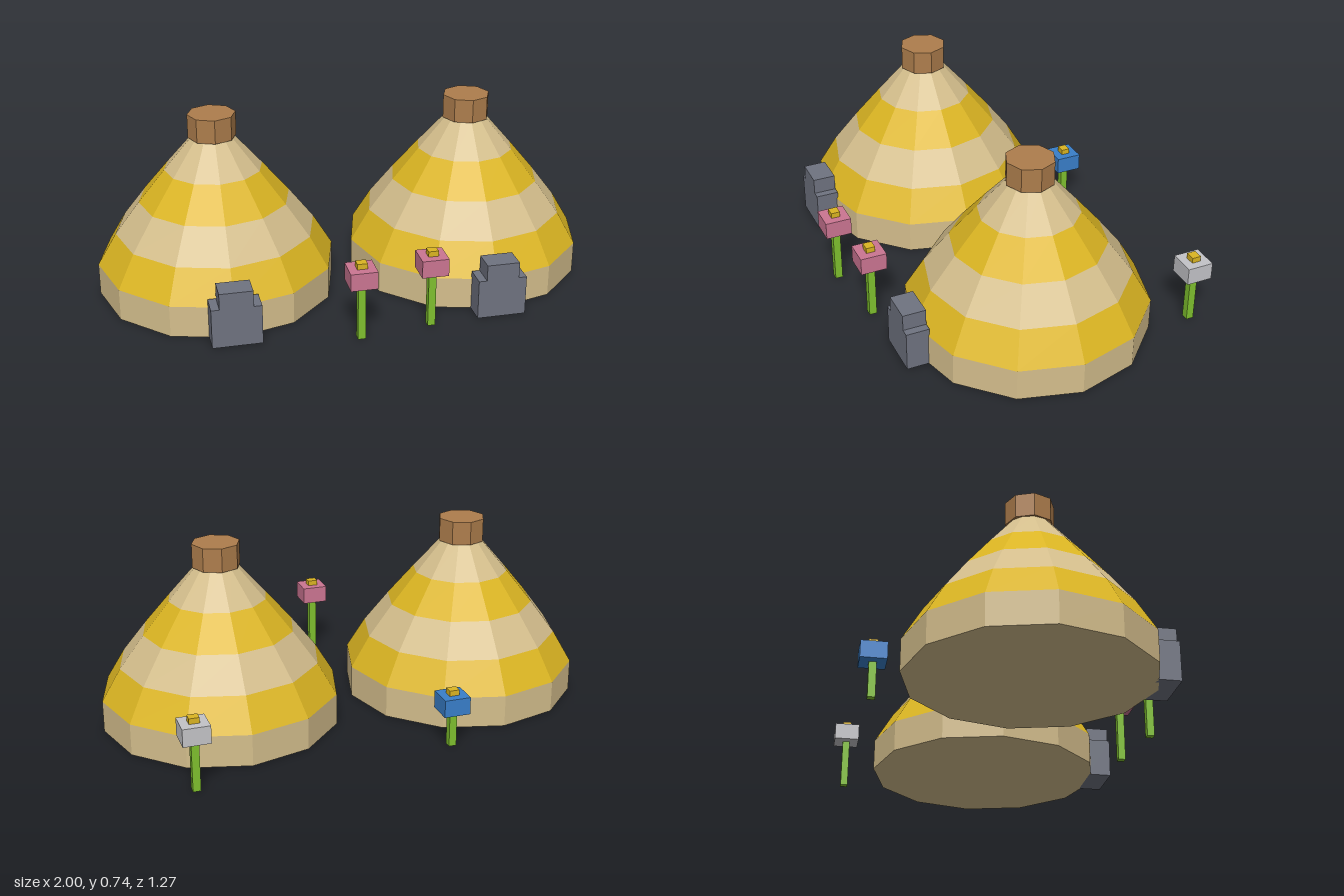
import * as THREE from 'three';

const mat = (name, color) => {
  const m = new THREE.MeshStandardMaterial({ color });
  m.name = name;
  return m;
};

export function createModel() {
  const tan = mat('tan cloth', 0xd4be8c);
  const yellow = mat('yellow cloth', 0xdbb522);
  const brown = mat('brown wood', 0xad7d4c);
  const slate = mat('slate', 0x6f7380);
  const pink = mat('pink petal', 0xcb7592);
  const blue = mat('blue petal', 0x397fca);
  const white = mat('pale petal', 0xc3c3c7);
  const green = mat('green stem', 0x7fc02e);

  const add = (parent, name, geometry, material, x, y, z) => {
    const mesh = new THREE.Mesh(geometry, material);
    mesh.name = name;
    mesh.position.set(x, y, z);
    parent.add(mesh);
  };

  // Prism or frustum with flat facets
  const frustum = (rTop, rBottom, h, sides, open) => {
    const g = new THREE.CylinderGeometry(rTop, rBottom, h, sides, 1, open).toNonIndexed();
    g.computeVertexNormals();
    return g;
  };

  const model = new THREE.Group();
  model.name = 'tentCamp';

  // Striped tents: stacked twelve-sided bands, a cap and a stepped doorway
  const radii = [0.479, 0.479, 0.402, 0.303, 0.196, 0.085];
  const step = 0.1285;
  const makeTent = (name, x) => {
    const tent = new THREE.Group();
    tent.name = name;
    for (let i = 0; i < 5; i++) {
      add(tent, i ? 'roofBand' : 'wall', frustum(radii[i + 1], radii[i], step, 12, true),
        i % 2 ? yellow : tan, 0, step * (i + 0.5), 0);
    }
    const floor = new THREE.CircleGeometry(radii[0], 12).rotateX(Math.PI / 2);
    add(tent, 'floor', floor, tan, 0, 0, 0);
    add(tent, 'roofCap', frustum(0.096, 0.096, 0.096, 8, false), brown, 0, 0.69, 0);
    add(tent, 'doorway', new THREE.BoxGeometry(0.194, 0.16, 0.093), slate, 0, 0.08, 0.494);
    add(tent, 'doorwayTop', new THREE.BoxGeometry(0.13, 0.065, 0.093), slate, 0, 0.1925, 0.494);
    tent.position.set(x, 0, 0.003);
    model.add(tent);
  };
  makeTent('rightTent', -0.521);
  makeTent('leftTent', 0.521);

  // Block flowers: [x, z, height of the head's underside, petal material]
  const flowers = [
    [-0.055, 0.584, 0.228, pink],
    [0.232, 0.541, 0.228, pink],
    [-0.254, -0.555, 0.144, blue],
    [0.766, -0.586, 0.203, white],
  ];
  for (const [x, z, h, petal] of flowers) {
    const flower = new THREE.Group();
    flower.name = 'flower';
    add(flower, 'stem', new THREE.BoxGeometry(0.03, h, 0.03), green, 0, h / 2, 0);
    add(flower, 'petals', new THREE.BoxGeometry(0.105, 0.07, 0.105), petal, 0, h + 0.035, 0);
    add(flower, 'flowerCentre', new THREE.BoxGeometry(0.04, 0.022, 0.036), yellow, 0, h + 0.081, 0);
    flower.position.set(x, 0, z);
    model.add(flower);
  }
  return model;
}
